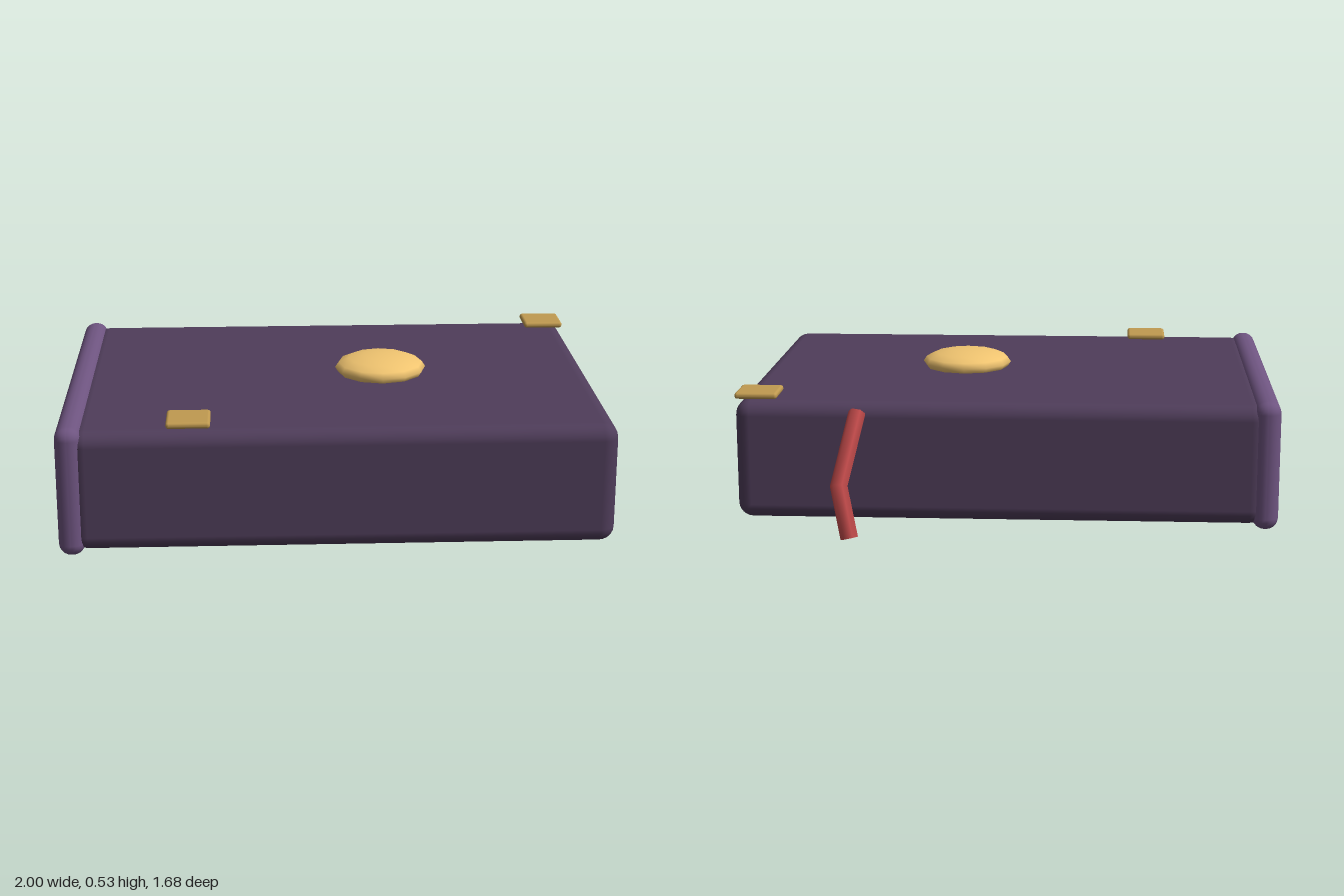
import * as THREE from 'three';
import { RoundedBoxGeometry } from 'three/addons/geometries/RoundedBoxGeometry.js';

export function createModel() {
  const group = new THREE.Group();
  const add = (name, geometry, color, x = 0, y = 0, z = 0, side = THREE.FrontSide) => {
    const mesh = new THREE.Mesh(geometry, new THREE.MeshStandardMaterial({ color, side }));
    mesh.name = name;
    mesh.position.set(x, y, z);
    group.add(mesh);
    return mesh;
  };

  // Book body and the slightly larger spine along its left edge
  add('bookBody', new RoundedBoxGeometry(1.95, 0.445, 1.425, 3, 0.055), 0x4f3d5a, 0.025, 0.2425, 0.12);
  add('spine', new RoundedBoxGeometry(0.095, 0.48, 1.445, 3, 0.045), 0x6e5480, -0.9525, 0.243, 0.12);

  // Flattened dome jewel on the cover
  const jewel = new THREE.SphereGeometry(0.175, 12, 8);
  jewel.scale(1, 0.3, 1);
  add('coverJewel', jewel, 0xf0c470, 0.195, 0.484, 0.12);

  // Thin metal plates at two opposite places on the cover
  for (const [name, x, z] of [['frontPlate', -0.53, 0.74], ['backPlate', 0.918, -0.51]]) {
    add(name, new RoundedBoxGeometry(0.157, 0.024, 0.157, 2, 0.011), 0xc09a50, x, 0.486, z);
  }

  // Bookmark ribbon: one bend, sampled exactly at its three control points
  const path = new THREE.CatmullRomCurve3([
    new THREE.Vector3(0.545, 0.43, -0.585),
    new THREE.Vector3(0.59, 0.2, -0.77),
    new THREE.Vector3(0.55, 0.018, -0.81),
  ]);
  path.getPointAt = (t, target) => path.getPoint(t, target);
  path.getTangentAt = (t, target) => path.getTangent(t, target);
  add('bookmarkRibbon', new THREE.TubeGeometry(path, 2, 0.032, 6), 0xc04a4a, 0, 0, 0, THREE.DoubleSide);

  return group;
}
